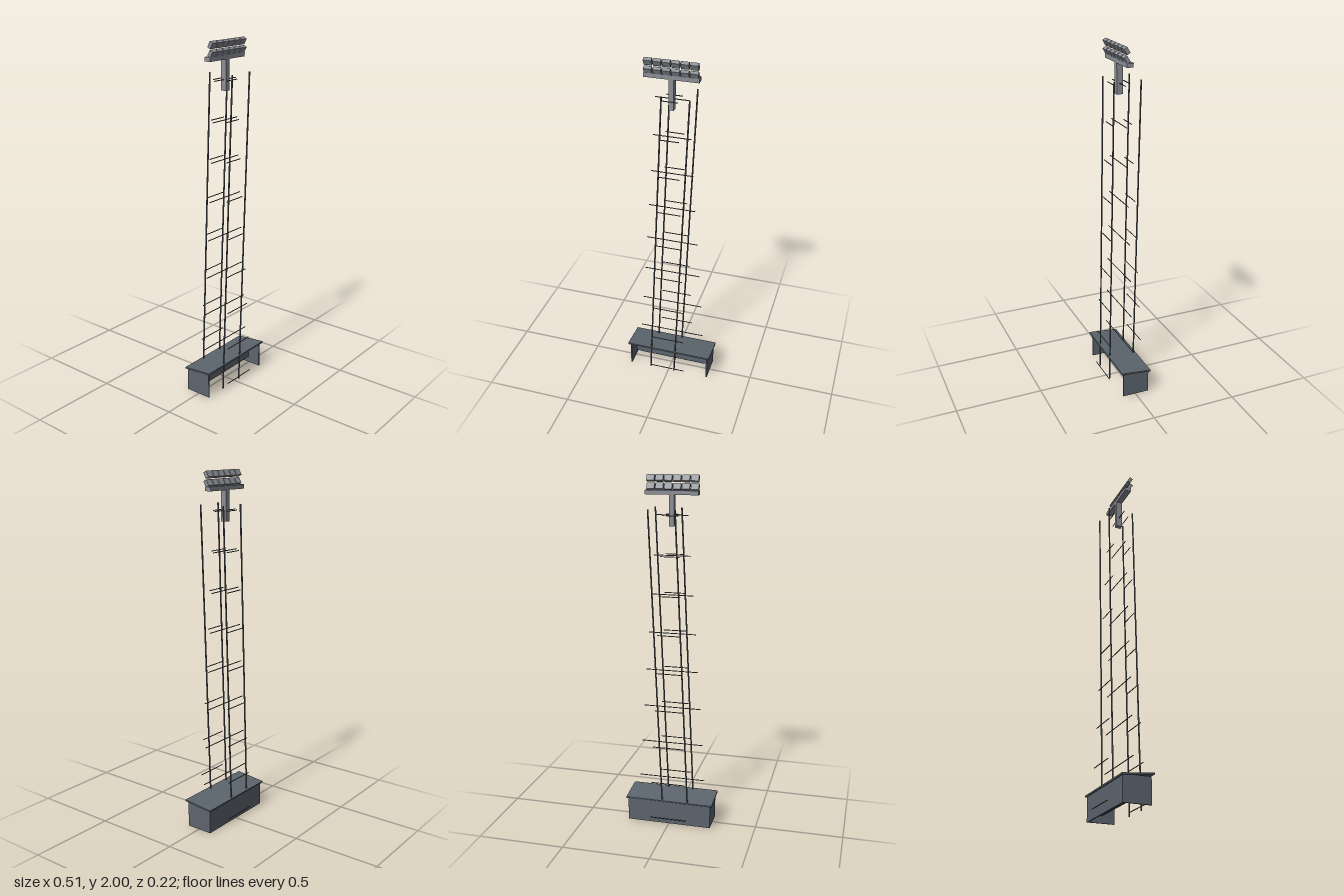
import * as THREE from 'three';

const material = (color) => new THREE.MeshStandardMaterial({ color, flatShading: true });

export function createModel() {
  const model = new THREE.Group();
  model.name = 'floodlightTower';
  const slate = material(0x5c656e);
  const steel = material(0x5a5d62);
  const grey = material(0x8c9097);
  const red = material(0xc83a3a);

  const add = (parent, name, geometry, mat, x, y, z) => {
    const mesh = new THREE.Mesh(geometry, mat);
    mesh.name = name;
    mesh.position.set(x, y, z);
    parent.add(mesh);
    return mesh;
  };
  const box = (parent, name, size, mat, x, y, z) =>
    add(parent, name, new THREE.BoxGeometry(...size), mat, x, y, z);
  const group = (name) => {
    const g = new THREE.Group();
    g.name = name;
    model.add(g);
    return g;
  };

  // Shelter: open at the front, with a sloping roof
  const shelter = group('shelter');
  box(shelter, 'backWall', [0.49, 0.143, 0.008], slate, 0, 0.0715, -0.077);
  for (const s of [-1, 1]) {
    box(shelter, 'endWall', [0.008, 0.143, 0.156], slate, s * 0.241, 0.0715, -0.002);
  }
  const roof = box(shelter, 'roof', [0.512, 0.009, 0.18], slate, 0, 0.149, 0);
  roof.rotation.x = -0.1;
  box(shelter, 'bench', [0.465, 0.037, 0.06], slate, 0, 0.0585, -0.029);
  box(shelter, 'redBox', [0.02, 0.02, 0.02], red, 0.01, 0.093, 0);

  // Four tower legs, all leaning the same way
  const tower = group('tower');
  const legGeometry = new THREE.CylinderGeometry(0.0045, 0.0045, 1.822, 8);
  for (const x of [-0.075, 0.075]) {
    for (const z of [-0.076, 0.076]) {
      const leg = add(tower, 'leg', legGeometry, steel, x, 0.911, z);
      leg.rotation.z = -0.044;
    }
  }

  // Rungs get shorter towards the top: front, back and two end to end in the middle
  for (let i = 0; i < 9; i++) {
    const w = 0.105 - i * 0.0075;
    const y = 0.039 + i * 0.2185;
    const geometry = new THREE.CylinderGeometry(0.0026, 0.0026, 2 * w, 6).rotateZ(Math.PI / 2);
    for (const s of [-1, 1]) {
      add(tower, 'rung', geometry, steel, 0, y, s * w);
      add(tower, 'middleRung', geometry, steel, s * w, y, 0);
    }
  }

  // Lamp head: post, crossbar and two rows of tilted lamps
  const head = group('lampHead');
  box(head, 'post', [0.028, 0.17, 0.036], grey, 0, 1.813, 0);
  box(head, 'crossbar', [0.294, 0.023, 0.037], grey, 0, 1.9065, 0);
  const lampGeometry = new THREE.BoxGeometry(0.043, 0.035, 0.021);
  for (const y of [1.935, 1.9795]) {
    for (let i = 0; i < 6; i++) {
      const lamp = add(head, 'lamp', lampGeometry, grey, (i - 2.5) * 0.049, y, 0.0155);
      lamp.rotation.x = 0.5;
    }
  }
  return model;
}
